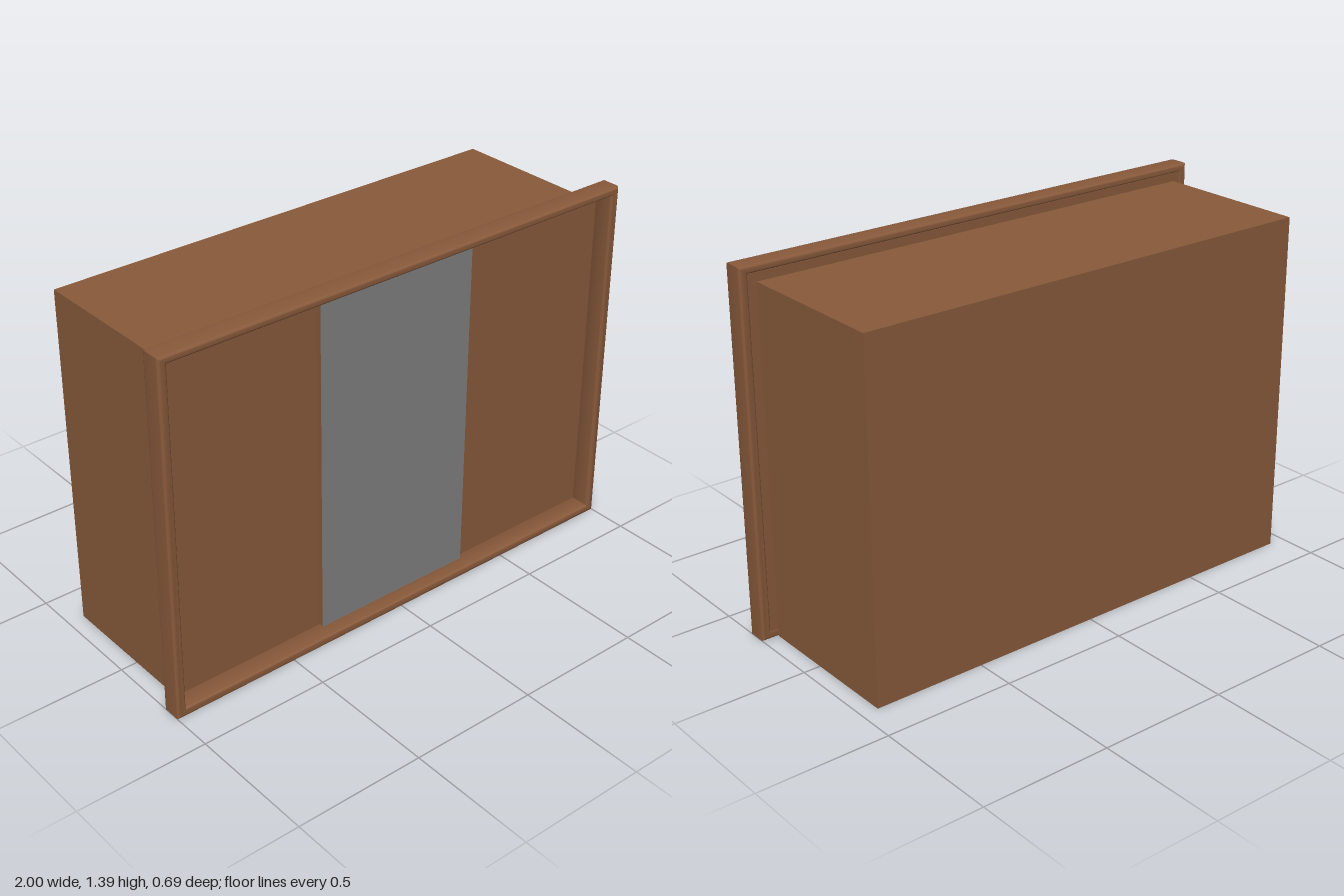
import * as THREE from 'three';
import { toCreasedNormals } from 'three/addons/utils/BufferGeometryUtils.js';

const wood = new THREE.MeshStandardMaterial({ color: 0x895a3b });
wood.name = 'brown wood';
const mirrorGrey = new THREE.MeshStandardMaterial({ color: 0x808080 });
mirrorGrey.name = 'mirror grey';

// Box given by its lower and upper limits on each axis
function box(name, material, [x0, x1], [y0, y1], [z0, z1]) {
  const mesh = new THREE.Mesh(new THREE.BoxGeometry(x1 - x0, y1 - y0, z1 - z0), material);
  mesh.position.set((x0 + x1) / 2, (y0 + y1) / 2, (z0 + z1) / 2);
  mesh.name = name;
  return mesh;
}

function rectangle(path, x, y0, y1) {
  path.moveTo(-x, y0);
  path.lineTo(x, y0);
  path.lineTo(x, y1);
  path.lineTo(-x, y1);
  path.closePath();
  return path;
}

// Raised door surround with rounded edges
function frame() {
  const back = 0.265, front = 0.347, round = 0.01;
  const shape = rectangle(new THREE.Shape(), 1, 0, 1.39);
  shape.holes.push(rectangle(new THREE.Path(), 0.965, 0.033, 1.36));
  const geometry = new THREE.ExtrudeGeometry(shape, {
    depth: front - back - 2 * round,
    bevelEnabled: true,
    bevelSize: round,
    bevelThickness: round,
    bevelOffset: -round,
    bevelSegments: 4,
  });
  geometry.translate(0, 0, back + round);
  const mesh = new THREE.Mesh(toCreasedNormals(geometry, 0.6), wood);
  mesh.name = 'frame';
  return mesh;
}

export function createModel() {
  const model = new THREE.Group();
  model.name = 'wardrobe';

  // Cabinet body and surround
  model.add(box('cabinet', wood, [-0.935, 0.935], [0, 1.33], [-0.347, 0.265]));
  model.add(frame());

  // Side doors, set back inside the frame
  for (const side of [-1, 1]) {
    const xs = side < 0 ? [-0.967, 0] : [0, 0.967];
    model.add(box(side < 0 ? 'rightDoor' : 'leftDoor', wood, xs, [0.03, 1.363], [0.2655, 0.271]));
  }

  // Middle sliding door with a thin mirror on its front
  model.add(box('middleDoor', wood, [-0.332, 0.332], [0.038, 1.355], [0.271, 0.292]));
  model.add(box('mirror', mirrorGrey, [-0.332, 0.332], [0.038, 1.355], [0.292, 0.296]));

  return model;
}
